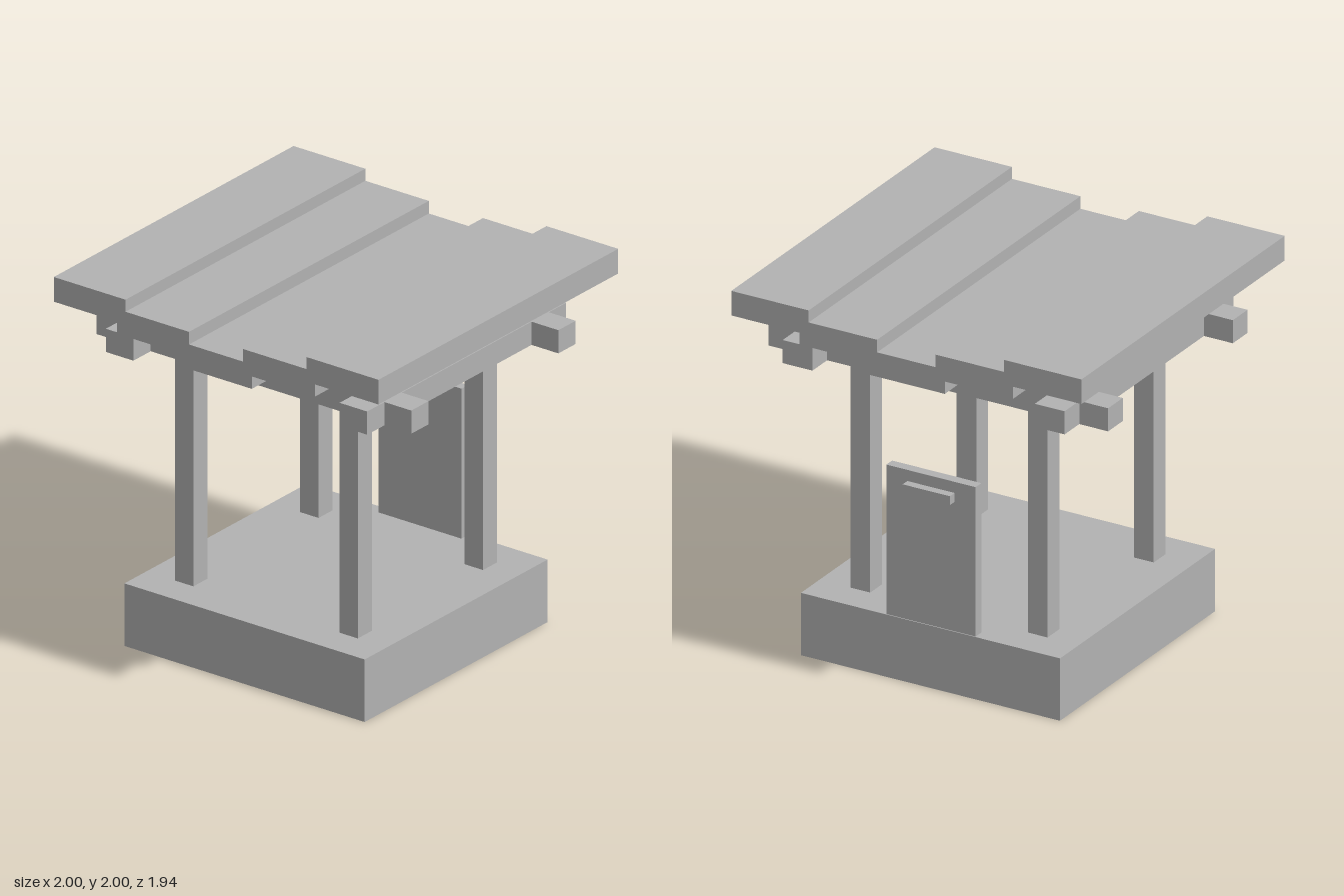
import * as THREE from 'three';

export function createModel() {
  const group = new THREE.Group();
  group.name = 'shelter';
  const grey = new THREE.MeshStandardMaterial({ color: 0xb2b2b2 });
  grey.name = 'plain grey';

  // Box given by its extents along each axis
  const box = (name, [x0, x1], [y0, y1], [z0, z1]) => {
    const mesh = new THREE.Mesh(new THREE.BoxGeometry(x1 - x0, y1 - y0, z1 - z0), grey);
    mesh.position.set((x0 + x1) / 2, (y0 + y1) / 2, (z0 + z1) / 2);
    mesh.name = name;
    group.add(mesh);
  };
  // Mirrors an extent to the negative side when s is -1
  const side = (s, a, b) => (s > 0 ? [a, b] : [-b, -a]);

  // Plinth
  box('base', [-0.74, 0.74], [0, 0.337], [-0.74, 0.74]);

  // Back panel with its handle
  box('backPanel', [-0.255, 0.255], [0.337, 1.145], [-0.735, -0.68]);
  box('panelHandle', [-0.135, 0.135], [1.037, 1.085], [-0.78, -0.735]);

  // Stepped roof: low centre plank, then two rising planks on each side
  const depth = [-0.97, 0.97];
  box('roofCentrePlank', [-0.22, 0.22], [1.735, 1.867], depth);

  for (const s of [1, -1]) {
    const label = s > 0 ? 'left' : 'right';
    box(label + 'RoofMiddlePlank', side(s, 0.167, 0.61), [1.802, 1.935], depth);
    box(label + 'RoofOuterPlank', side(s, 0.558, 1), [1.867, 2], depth);

    // Crossing beams in one plane, just outside the posts
    box(label + 'SideBeam', side(s, 0.635, 0.805), [1.59, 1.715], [-0.805, 0.805]);
    box(s > 0 ? 'frontBeam' : 'backBeam', [-0.97, 0.97], [1.59, 1.715], side(s, 0.525, 0.665));

    // Posts
    for (const f of [1, -1]) {
      box(label + (f > 0 ? 'FrontPost' : 'BackPost'),
        side(s, 0.45, 0.563), [0.337, 1.59], side(f, 0.45, 0.563));
    }
  }
  return group;
}
